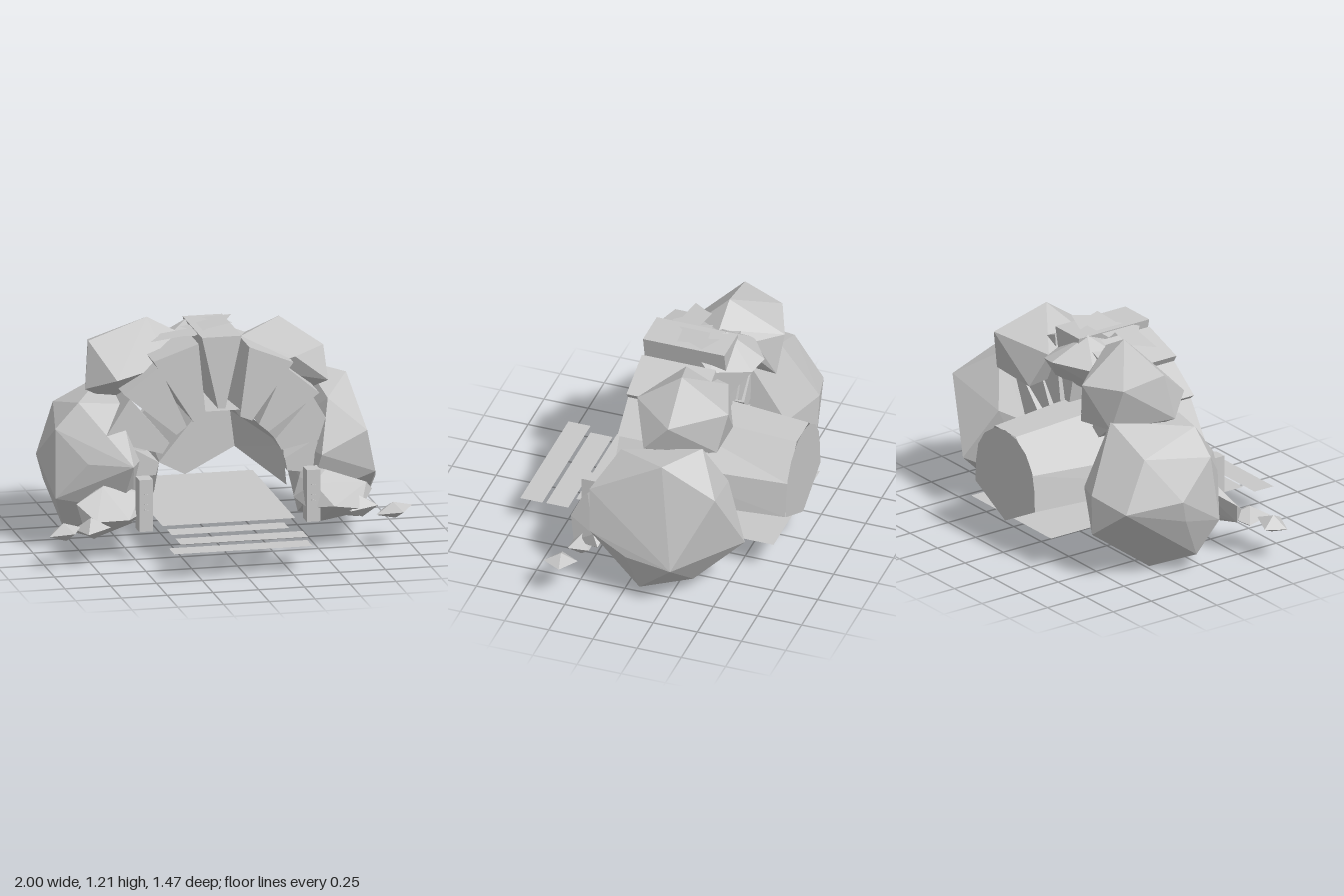
import * as THREE from 'three';
import { ConvexGeometry } from 'three/addons/geometries/ConvexGeometry.js';

const stone = new THREE.MeshStandardMaterial({ color: 0xc8c8c8, flatShading: true, side: THREE.DoubleSide });
stone.name = 'grey stone';

export function createModel() {
  const model = new THREE.Group();
  model.name = 'caveEntrance';

  const add = (name, geometry, x = 0, y = 0, z = 0) => {
    const mesh = new THREE.Mesh(geometry, stone);
    mesh.name = name;
    mesh.position.set(x, y, z);
    model.add(mesh);
    return mesh;
  };
  // Faceted solid around a few corner points
  const hull = (name, pts) => add(name, new ConvexGeometry(pts.map(p => new THREE.Vector3(...p))));

  // Large side boulders
  hull('rightBoulder', [
    [-.93, .48, -.24], [-.875, .67, -.02], [-.84, .45, -.55], [-.61, .5, -.61], [-.39, .45, -.5],
    [-.885, .3, .03], [-.73, .505, .13], [-.51, .51, .26], [-.746, .805, -.03], [-.52, .853, -.42],
    [-.8, .72, -.4], [-.815, .1, -.07], [-.607, 0, -.23], [-.43, .1, -.12], [-.9, .35, -.2],
    [-.37, .5, -.05], [-.6, .27, -.6], [-.53, .8, .02], [-.55, .25, .13], [-.4, .75, -.3]]);
  hull('leftBoulder', [
    [.93, .3, -.32], [.757, .84, -.21], [.56, .87, -.37], [.78, .71, -.52], [.56, .32, -.61],
    [.8, .067, -.1], [.825, .565, -.18], [.78, .62, .19], [.59, .78, .08], [.49, .09, -.2],
    [.83, .385, .17], [.53, .5, .2], [.48, .235, .1], [.41, .5, -.3], [.43, .6, -.47],
    [.65, .08, -.35], [.88, .3, -.05]]);

  // Upper boulders resting on the arch
  hull('upperRightBoulder', [
    [-.335, 1.21, -.2], [-.66, 1.105, -.17], [-.61, 1.05, -.4], [-.37, 1.03, -.5], [-.25, 1.03, -.37],
    [-.69, .853, -.12], [-.55, .93, .04], [-.27, 1, .03], [-.17, 1.12, -.2], [-.45, .72, -.2],
    [-.52, .8, -.42], [-.32, .8, -.47]]);
  hull('upperLeftBoulder', [
    [.385, 1.175, -.19], [.63, 1, -.2], [.625, .84, -.06], [.46, 1.05, -.48], [.125, 1, -.36],
    [.2, .95, .035], [.42, 1.01, .05], [.14, 1.08, -.13], [.5, .82, -.43], [.42, .72, -.2],
    [.22, .8, -.42], [.22, .84, -.08]]);
  hull('crownBoulder', [
    [-.1, 1.17, -.27], [-.08, 1.06, -.49], [.03, 1.04, -.46], [.13, 1.05, -.25], [-.28, 1.04, -.36],
    [-.25, 1.08, -.17], [.02, 1.13, -.1], [-.1, .86, -.28], [.08, .9, -.35], [-.22, .92, -.3]]);

  // Jagged thin slab on the crown
  const jag = [[-.36, 0], [-.3, -.08], [-.28, -.12], [-.13, -.11], [-.16, -.17], [0, -.2], [-.02, -.26],
    [.13, -.21], [.08, -.12], [.1, -.06], [-.04, -.04], [-.13, .05], [-.18, .01]];
  const slab = new THREE.ShapeGeometry(new THREE.Shape(jag.map(([x, z]) => new THREE.Vector2(x, -z))));
  slab.rotateX(-Math.PI / 2);
  const sp = slab.attributes.position;
  for (let i = 0; i < sp.count; i++) sp.setY(i, 1.175 + sp.getX(i) * .145);
  slab.computeVertexNormals();
  add('crownSlab', slab);

  // Arch wedges: angle, inner and outer radius, inner and outer half width, depth range
  const cy = .37;
  const wedge = (name, degrees, r0, r1, inner, outer, back, front) => {
    const a = THREE.MathUtils.degToRad(degrees), c = Math.cos(a), s = Math.sin(a), pts = [];
    for (const z of [back, front]) {
      for (const [r, w] of [[r0, inner], [r1, outer]]) {
        for (const k of [-w, w]) pts.push([c * r - s * k, cy + s * r + c * k, z]);
      }
    }
    hull(name, pts);
  };
  wedge('keystone', 90, .4, .795, .02, .108, -.33, .13);
  const wedges = [[71, .36, .76, .13], [53, .36, .72, .12], [33, .36, .68, .13], [14, .36, .58, .1]];
  wedges.forEach(([deg, r0, r1, half], i) => {
    wedge('archStoneLeft' + (i + 1), deg - 3, r0, r1 - .03, .035, half, -.3, .12);
    wedge('archStoneRight' + (i + 1), 180 - deg, r0, r1, .035, half, -.3, .12);
  });

  // Tapered tunnel shell, open below and at the mouth
  const mouth = [[-.365, .32], [-.335, .49], [-.12, .75], [.12, .75], [.34, .54], [.36, .32]];
  const rear = [[-.27, .32], [-.245, .52], [-.095, .695], [.095, .695], [.245, .52], [.27, .32]];
  const shell = [];
  for (let i = 0; i < 5; i++) {
    const a = [...mouth[i], .1], b = [...mouth[i + 1], .1], c = [...rear[i + 1], -.735], d = [...rear[i], -.735];
    shell.push(...a, ...b, ...c, ...a, ...c, ...d);
  }
  const tunnel = new THREE.BufferGeometry();
  tunnel.setAttribute('position', new THREE.Float32BufferAttribute(shell, 3));
  tunnel.computeVertexNormals();
  add('tunnel', tunnel);

  // Rounded rear wall closing the tunnel, pointed at the bottom
  const wall = new THREE.Shape();
  wall.moveTo(0, .18);
  wall.lineTo(.27, .32);
  for (let i = 0; i <= 8; i++) {
    const a = i * Math.PI / 8;
    wall.lineTo(.265 * Math.cos(a), .44 + .262 * Math.sin(a));
  }
  wall.lineTo(-.27, .32);
  add('tunnelBackWall', new THREE.ShapeGeometry(wall), 0, 0, -.737);

  // Floor and steps as thin sheets: x range, z range, height
  const sheets = [['floor', -.365, .36, -.7, .31, .192], ['upperStep', -.345, .295, .32, .44, .175],
    ['middleStep', -.33, .365, .46, .585, .16], ['lowerStep', -.4, .355, .61, .735, .15]];
  for (const [name, x0, x1, z0, z1, y] of sheets) {
    add(name, new THREE.PlaneGeometry(x1 - x0, z1 - z0).rotateX(-Math.PI / 2), (x0 + x1) / 2, y, (z0 + z1) / 2);
  }

  // Gate posts with small carved marks
  for (const [side, x] of [['Right', -.462], ['Left', .453]]) {
    add('post' + side, new THREE.BoxGeometry(.075, .285, .09), x, .317, .295);
    for (const y of [.29, .32, .375]) {
      const mark = add('postMark' + side, new THREE.BoxGeometry(.024, .01, .005), x, y, .342);
      mark.rotation.z = -.25;
    }
  }

  // Rocks at the foot of the entrance
  hull('footRockRight', [
    [-.81, .31, .2], [-.66, .39, .17], [-.45, .34, .16], [-.43, .25, .2], [-.55, .24, .33],
    [-.72, .23, .3], [-.78, .2, .22], [-.6, .16, .2], [-.45, .19, .12], [-.6, .4, .08], [-.4, .3, .05]]);
  hull('footRockLeft', [
    [.375, .28, .2], [.42, .37, .14], [.55, .42, .2], [.78, .33, .17], [.82, .28, .13],
    [.72, .22, .3], [.56, .26, .375], [.42, .25, .32], [.46, .38, .32], [.52, .13, .18],
    [.66, .16, .2], [.45, .42, .08]]);

  // Scattered pebbles: centre, half sizes, turn
  const pebbles = [[-.91, .205, .36, .1, .05, .085, .4], [-.75, .205, .32, .1, .06, .12, 1.1],
    [.9, .205, .31, .11, .045, .09, .3], [.73, .22, .25, .11, .06, .08, .9]];
  pebbles.forEach(([x, y, z, sx, sy, sz, turn], i) => {
    const g = new THREE.OctahedronGeometry(1, 0);
    g.rotateY(turn).scale(sx, sy, sz).rotateZ(.15);
    g.computeVertexNormals();
    add('pebble' + (i + 1), g, x, y, z);
  });

  return model;
}
